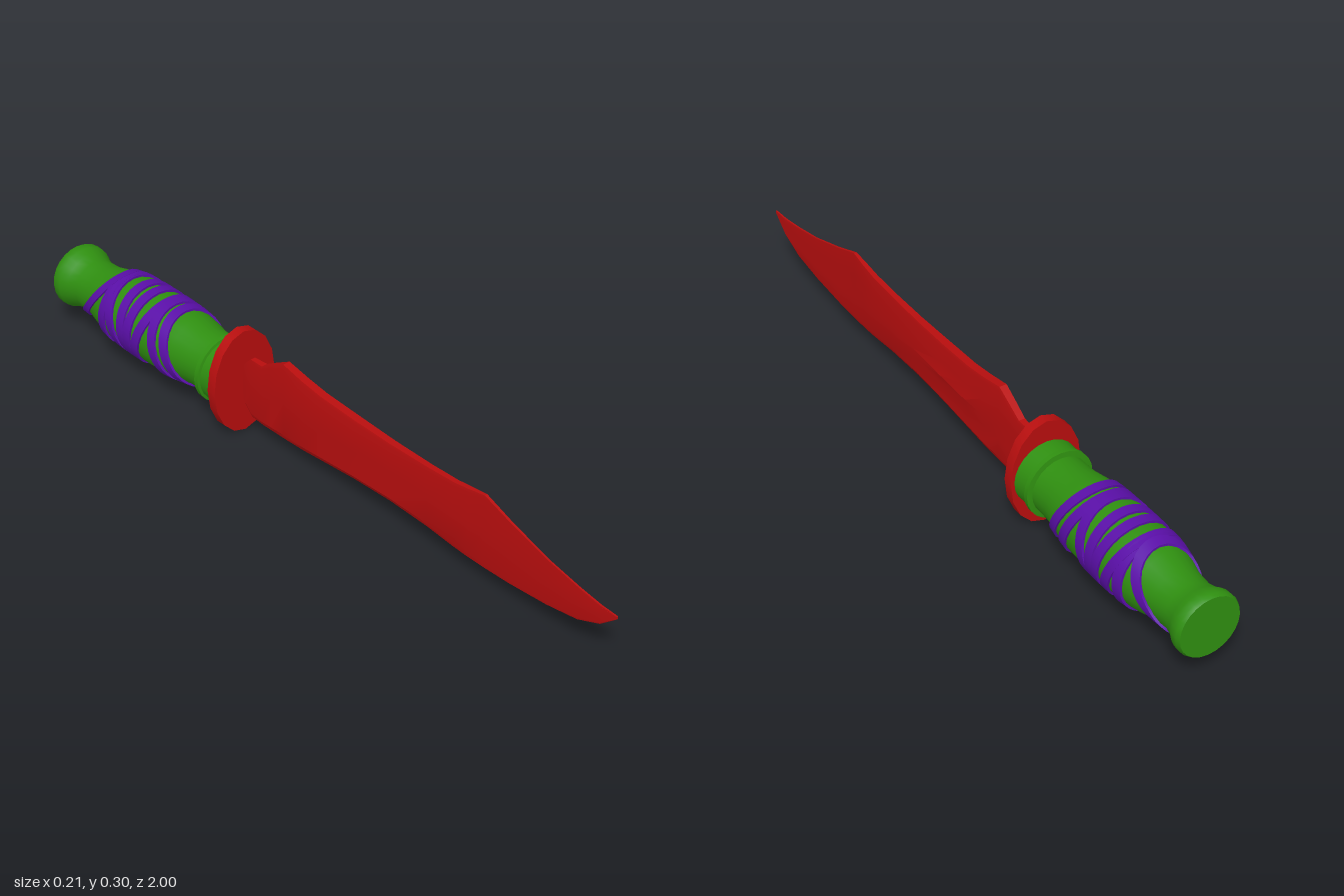
import * as THREE from 'three';
import { toCreasedNormals } from 'three/addons/utils/BufferGeometryUtils.js';

const RED = new THREE.MeshStandardMaterial({ color: 0xb80e0e });
const GREEN = new THREE.MeshStandardMaterial({ color: 0x2f8f10 });
const PURPLE = new THREE.MeshStandardMaterial({ color: 0x5a0fa8 });
const AXIS_Y = 0.15;

// Skin a list of equal-length rings; either close the loop or cap both ends.
function loft(rings, closed) {
  const n = rings[0].length, m = rings.length, index = [];
  for (let k = 0; k < (closed ? m : m - 1); k++) {
    for (let i = 0; i < n; i++) {
      const j = (i + 1) % n, q = (k + 1) % m;
      const a = k * n + i, b = k * n + j, c = q * n + j, d = q * n + i;
      index.push(a, b, d, b, c, d);
    }
  }
  if (!closed) {
    const e = (m - 1) * n;
    for (let i = 1; i < n - 1; i++) index.push(0, i + 1, i, e, e + i, e + i + 1);
  }
  const geo = new THREE.BufferGeometry();
  geo.setAttribute('position', new THREE.Float32BufferAttribute(rings.flat(2), 3));
  geo.setIndex(index);
  return geo;
}

// Handle profile: distance along z, radius
const PROFILE = [
  [-1, 0.083], [-0.99, 0.088], [-0.97, 0.087], [-0.95, 0.077], [-0.92, 0.07], [-0.87, 0.073],
  [-0.82, 0.086], [-0.77, 0.096], [-0.7, 0.098], [-0.62, 0.098], [-0.55, 0.096], [-0.5, 0.09],
  [-0.45, 0.081], [-0.395, 0.08], [-0.393, 0.094], [-0.38, 0.094], [-0.378, 0.087], [-0.33, 0.09],
];

function radiusAt(z) {
  for (let i = 1; i < PROFILE.length; i++) {
    const [z0, r0] = PROFILE[i - 1], [z1, r1] = PROFILE[i];
    if (z <= z1) return r0 + (r1 - r0) * (z - z0) / (z1 - z0);
  }
  return PROFILE[PROFILE.length - 1][1];
}

// Blade stations: z, lower edge, upper edge, half thickness, extra swelling on the left face
const STATIONS = [
  [-0.31, 0.1, 0.185, 0.005, 0], [-0.295, 0.08, 0.21, 0.007, 0], [-0.27, 0.057, 0.235, 0.009, 0],
  [-0.225, 0.055, 0.237, 0.011, 0], [-0.19, 0.056, 0.258, 0.012, 0], [-0.14, 0.057, 0.286, 0.013, 0.003],
  [-0.07, 0.06, 0.272, 0.014, 0.006], [0, 0.066, 0.262, 0.014, 0.008], [0.12, 0.076, 0.256, 0.014, 0.008],
  [0.25, 0.08, 0.252, 0.012, 0.006], [0.38, 0.075, 0.253, 0.01, 0.004], [0.47, 0.066, 0.257, 0.009, 0.003],
  [0.52, 0.063, 0.264, 0.008, 0.002], [0.57, 0.061, 0.272, 0.005, 0], [0.66, 0.063, 0.239, 0.004, 0],
  [0.78, 0.072, 0.202, 0.003, 0], [0.88, 0.088, 0.181, 0.003, 0], [0.95, 0.117, 0.17, 0.003, 0],
  [1, 0.16, 0.168, 0.002, 0],
];

function bladeRing([z, lo, hi, w, swell]) {
  const at = (x, t) => [x, lo + (hi - lo) * t, z];
  return [
    at(w * 0.5, 0), at(w, 0.07), at(w, 0.32), at(w + swell, 0.5), at(w, 0.7), at(w, 0.95), at(w * 0.8, 1),
    at(-w * 0.8, 1), at(-w, 0.95), at(-w, 0.5), at(-w, 0.07), at(-w * 0.5, 0),
  ];
}

// Slanted cord band hugging the handle, given its z at the top and at the bottom
function wrapBand(zTop, zBottom) {
  const rings = [], steps = 32, half = 0.014;
  for (let s = 0; s < steps; s++) {
    const a = s / steps * Math.PI * 2;
    const z = (zTop + zBottom) / 2 + (zTop - zBottom) / 2 * Math.cos(a);
    const point = (dz, lift) => {
      const r = radiusAt(z + dz) + lift;
      return [Math.sin(a) * r, Math.cos(a) * r, z + dz];
    };
    rings.push([point(-half, -0.006), point(-half, 0.006), point(half, 0.006), point(half, -0.006)]);
  }
  return loft(rings, true);
}

export function createModel() {
  const group = new THREE.Group();
  const add = (name, geo, material, y = 0, z = 0, crease = 0.6) => {
    const mesh = new THREE.Mesh(toCreasedNormals(geo, crease), material);
    mesh.name = name;
    mesh.position.set(0, y, z);
    group.add(mesh);
  };

  // Blade
  add('blade', loft(STATIONS.map(bladeRing), false), RED, 0, 0, 0.4);

  // Oval guard
  const guard = new THREE.CylinderGeometry(1, 1, 0.028, 16).rotateX(Math.PI / 2).scale(0.1, 0.15, 1);
  add('guard', guard, RED, AXIS_Y, -0.318);

  // Turned handle with collar and flared pommel
  const outline = [[-1, 0], ...PROFILE, [-0.33, 0]].map(([z, r]) => new THREE.Vector2(r, z));
  add('handle', new THREE.LatheGeometry(outline, 24).rotateX(Math.PI / 2), GREEN, AXIS_Y);

  // Criss-crossing cord wraps
  const bands = [
    [-0.55, -0.465], [-0.59, -0.52], [-0.6, -0.655], [-0.66, -0.665],
    [-0.705, -0.67], [-0.765, -0.7], [-0.77, -0.775], [-0.785, -0.915],
  ];
  bands.forEach(([t, b], i) => add('cordWrap' + (i + 1), wrapBand(t, b), PURPLE, AXIS_Y));

  return group;
}
